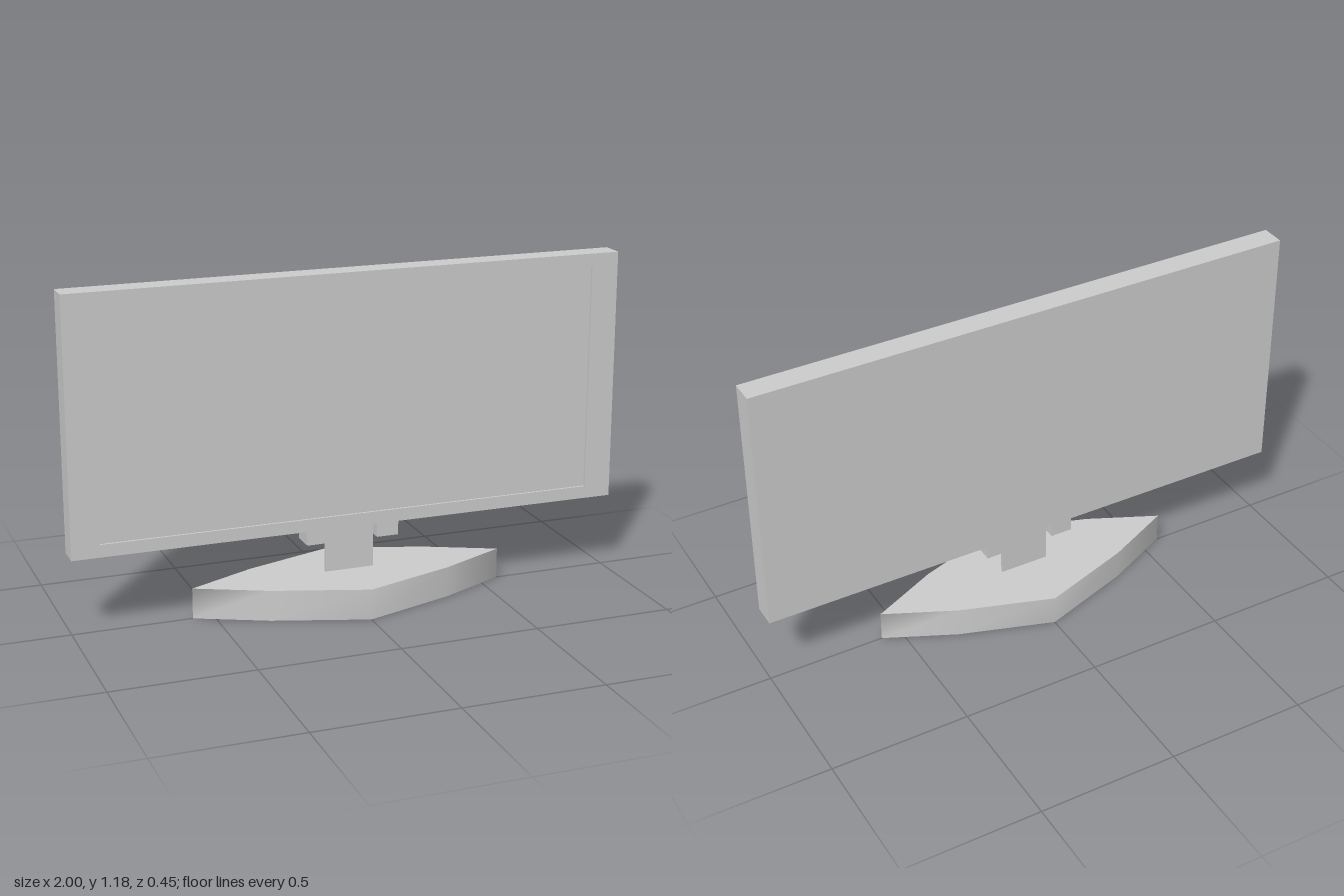
import * as THREE from 'three';
import { mergeVertices } from 'three/addons/utils/BufferGeometryUtils.js';

const grey = new THREE.MeshStandardMaterial({ color: 0xcccccc });

function add(parent, name, geometry, x = 0, y = 0, z = 0) {
  const mesh = new THREE.Mesh(geometry, grey);
  mesh.name = name;
  mesh.position.set(x, y, z);
  parent.add(mesh);
  return mesh;
}

// Rectangle outline centred on the origin
function rectangle(w, h, Type = THREE.Shape) {
  return new Type([[-w, -h], [w, -h], [w, h], [-w, h]].map(([x, y]) => new THREE.Vector2(x / 2, y / 2)));
}

export function createModel() {
  const model = new THREE.Group();
  model.name = 'monitor';

  const bottom = 0.28, top = 1.185, halfDepth = 0.043, recess = 0.008;
  const height = top - bottom, midY = (top + bottom) / 2;

  // Screen housing with a raised bezel around the shallow display recess
  const screen = new THREE.Group();
  screen.name = 'screen';
  model.add(screen);
  add(screen, 'housing', new THREE.BoxGeometry(2, height, 2 * halfDepth - recess), 0, midY, -recess / 2);
  const bezel = rectangle(2, height);
  bezel.holes.push(rectangle(1.8, height - 0.09, THREE.Path));
  add(screen, 'bezel', new THREE.ExtrudeGeometry(bezel, { depth: recess, bevelEnabled: false }),
    0, midY, halfDepth - recess);

  // Two tabs under the housing hold the thin neck plate
  for (const side of [-1, 1]) {
    add(model, side > 0 ? 'leftTab' : 'rightTab',
      new THREE.BoxGeometry(0.08, 0.05, 2 * halfDepth), side * 0.13, bottom - 0.025, 0);
  }
  add(model, 'neck', new THREE.BoxGeometry(0.18, 0.17, 0.01), 0, 0.195, 0);

  // Pointed base: smooth side wall with flat top and bottom
  const base = new THREE.Group();
  base.name = 'base';
  model.add(base);
  const baseHeight = 0.11;
  const outline = [[0, 0.225], [0.33, 0.115], [0.575, 0], [0.33, -0.115],
    [0, -0.225], [-0.33, -0.115], [-0.575, 0], [-0.33, 0.115]];

  let wall = new THREE.CylinderGeometry(1, 1, baseHeight, 8, 1, true);
  const pos = wall.attributes.position;
  for (let i = 0; i < pos.count; i++) {
    const [x, z] = outline[i % 9 % 8];
    pos.setX(i, x).setZ(i, z);
  }
  wall.deleteAttribute('normal');
  wall.deleteAttribute('uv');
  wall = mergeVertices(wall);
  wall.computeVertexNormals();
  add(base, 'baseWall', wall, 0, baseHeight / 2, 0);

  const cap = new THREE.ShapeGeometry(new THREE.Shape(outline.map(([x, z]) => new THREE.Vector2(x, z))));
  add(base, 'baseTop', cap, 0, baseHeight, 0).rotation.x = -Math.PI / 2;
  add(base, 'baseBottom', cap).rotation.x = Math.PI / 2;

  return model;
}
